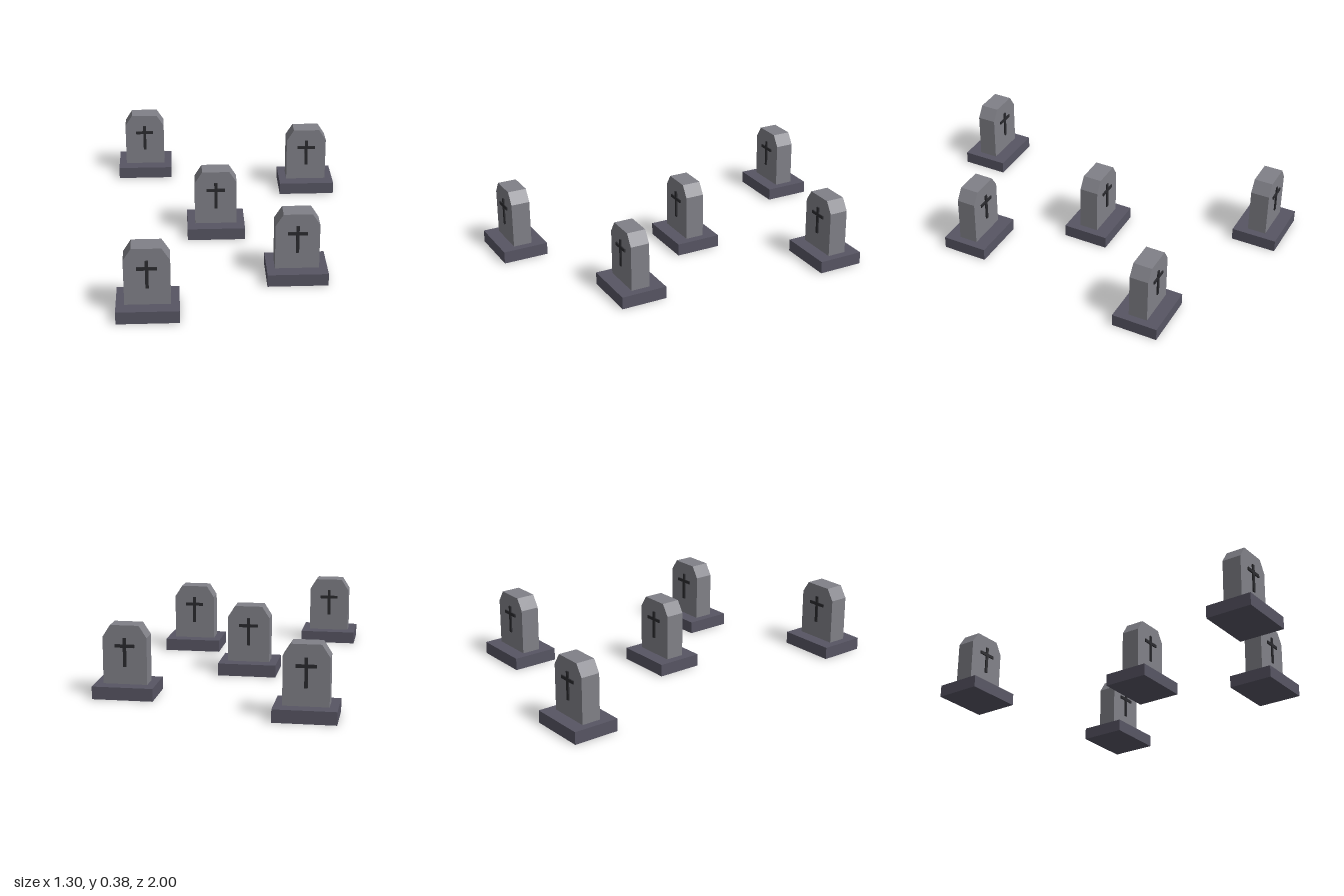
import * as THREE from 'three';

const stoneMat = new THREE.MeshStandardMaterial({ name: 'grey stone', color: 0x808087 });
const baseMat = new THREE.MeshStandardMaterial({ name: 'dark slate', color: 0x575563 });
const crossMat = new THREE.MeshStandardMaterial({ name: 'near black', color: 0x2a2a2e });

const BASE_H = 0.068, TOP = 0.382, SHOULDER = 0.318, DEPTH = 0.105;

// Upright slab with chamfered shoulders
function slabGeometry() {
  const shape = new THREE.Shape([
    [-0.117, BASE_H], [0.117, BASE_H], [0.117, SHOULDER],
    [0.076, TOP], [-0.076, TOP], [-0.117, SHOULDER],
  ].map(([x, y]) => new THREE.Vector2(x, y)));
  return new THREE.ExtrudeGeometry(shape, { depth: DEPTH, bevelEnabled: false })
    .translate(0, 0, -DEPTH / 2);
}

// Raised cross plate as a single outline
function crossGeometry() {
  const w = 0.0085, arm = 0.052, y0 = 0.162, y1 = 0.264, y2 = 0.281, y3 = 0.316;
  const shape = new THREE.Shape([
    [-w, y0], [w, y0], [w, y1], [arm, y1], [arm, y2], [w, y2],
    [w, y3], [-w, y3], [-w, y2], [-arm, y2], [-arm, y1], [-w, y1],
  ].map(([x, y]) => new THREE.Vector2(x, y)));
  return new THREE.ExtrudeGeometry(shape, { depth: 0.007, bevelEnabled: false })
    .translate(0, 0, DEPTH / 2);
}

const slab = slabGeometry();
const cross = crossGeometry();
const base = new THREE.BoxGeometry(0.322, BASE_H, 0.255).translate(0, BASE_H / 2, 0);

function part(name, geometry, material) {
  const mesh = new THREE.Mesh(geometry, material);
  mesh.name = name;
  return mesh;
}

function gravestone() {
  const group = new THREE.Group();
  group.name = 'gravestone';
  const backCross = part('backCross', cross, crossMat);
  backCross.rotation.y = Math.PI;
  group.add(
    part('plinth', base, baseMat),
    part('headstone', slab, stoneMat),
    part('frontCross', cross, crossMat),
    backCross,
  );
  return group;
}

export function createModel() {
  const model = new THREE.Group();
  model.name = 'graveyard';
  // Scattered positions as [x, z]
  const spots = [
    [-0.488, -0.873], [0.487, -0.599], [-0.078, -0.018], [0.331, 0.529], [-0.452, 0.873],
  ];
  for (const [x, z] of spots) {
    const stone = gravestone();
    stone.position.set(x, 0, z);
    model.add(stone);
  }
  return model;
}
